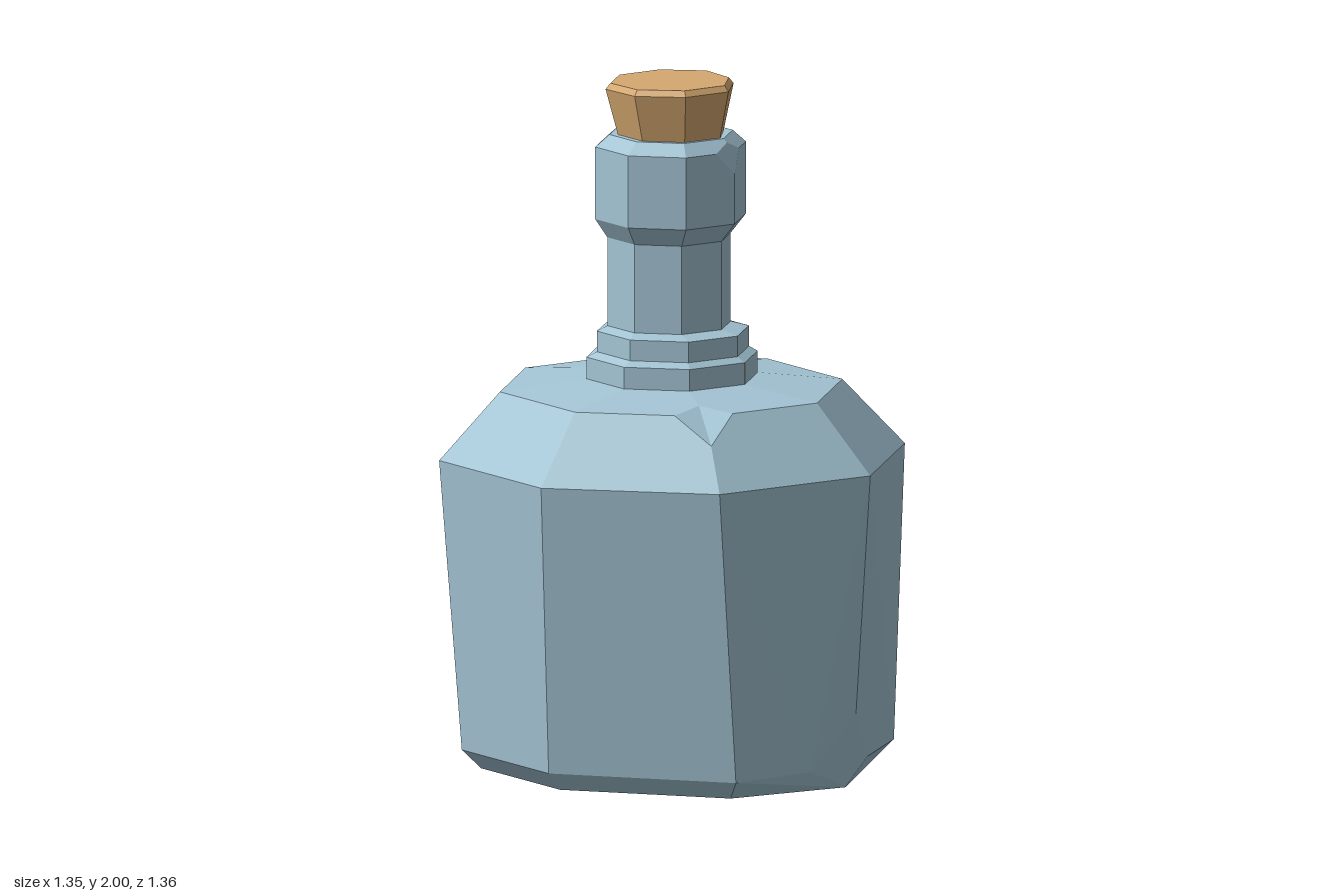
import * as THREE from 'three';

const N = 8;

// Octagonal ring of points; vertex 0 faces +x, vertex 2 faces +z
function ring(y, r, cx) {
  return Array.from({ length: N }, (_, k) => {
    const a = (k / N) * Math.PI * 2;
    return new THREE.Vector3(cx + r * Math.cos(a), y, r * Math.sin(a));
  });
}

// Polygon solid from stacked rings, closed at both ends
function loft(rings) {
  const points = rings.flat();
  const faces = [];
  for (let i = 0; i < rings.length - 1; i++) {
    for (let k = 0; k < N; k++) {
      const a = i * N + k, b = i * N + (k + 1) % N;
      faces.push([a, a + N, b + N, b]);
    }
  }
  const last = (rings.length - 1) * N;
  faces.push([...Array(N).keys()]);
  faces.push([...Array(N).keys()].map((k) => last + k).reverse());
  return { points, faces };
}

// Cut one corner off; t gives the cut along the edges up, next, down, previous
function chip(solid, i, k, t) {
  const { points, faces } = solid;
  const v = i * N + k;
  const around = [v + N, i * N + (k + 1) % N, v - N, i * N + (k + N - 1) % N];
  const cut = new Map();
  around.forEach((n, j) => {
    cut.set(n, points.length);
    points.push(points[v].clone().lerp(points[n], t[j]));
  });
  for (const f of faces) {
    const p = f.indexOf(v);
    if (p < 0) continue;
    const prev = f[(p + f.length - 1) % f.length], next = f[(p + 1) % f.length];
    f.splice(p, 1, cut.get(prev), cut.get(next));
  }
  faces.push(around.map((n) => cut.get(n)));
}

function toMesh({ points, faces }, material, name) {
  const pos = [];
  for (const f of faces) {
    for (let j = 1; j < f.length - 1; j++) {
      for (const n of [f[0], f[j], f[j + 1]]) pos.push(...points[n].toArray());
    }
  }
  const geometry = new THREE.BufferGeometry();
  geometry.setAttribute('position', new THREE.Float32BufferAttribute(pos, 3));
  geometry.computeVertexNormals();
  const mesh = new THREE.Mesh(geometry, material);
  mesh.name = name;
  return mesh;
}

export function createModel() {
  const glass = new THREE.MeshStandardMaterial({ color: 0xa4c5d5 });
  glass.name = 'pale blue glass';
  const corkColor = new THREE.MeshStandardMaterial({ color: 0xd5a870 });
  corkColor.name = 'cork tan';

  // Slightly uneven foot of the bottle
  const foot = [
    [0.605, 0], [0.475, 0.41], [-0.055, 0.58], [-0.465, 0.41],
    [-0.625, 0], [-0.465, -0.41], [-0.055, -0.58], [0.475, -0.41],
  ].map(([x, z]) => new THREE.Vector3(x, 0.065, z));
  const base = foot.map((p) => new THREE.Vector3(p.x * 0.91, 0.01, p.z * 0.91));
  base[0].set(0.58, 0, 0);

  // Body, shoulder, collar, neck and lip: y, radius, centre x
  const bottle = loft([
    base, foot,
    ...[
      [0.915, 0.68, -0.015],
      [1.108, 0.5, -0.018],
      [1.137, 0.25, -0.015],
      [1.2, 0.25, -0.015],
      [1.215, 0.222, -0.012],
      [1.275, 0.222, -0.012],
      [1.288, 0.18, -0.025],
      [1.545, 0.18, -0.025],
      [1.6, 0.22, -0.02],
      [1.81, 0.22, -0.02],
      [1.845, 0.18, -0.018],
    ].map((r) => ring(...r)),
  ]);

  // Knocked-off corners
  chip(bottle, 1, 0, [0.18, 0.36, 0.96, 0.36]); // foot
  chip(bottle, 2, 4, [0.6, 0.29, 0.13, 0.27]); // shoulder edge
  chip(bottle, 3, 1, [0.43, 0.24, 0.38, 0.24]); // shoulder top
  chip(bottle, 7, 4, [0.4, 0.3, 0.5, 0.4]); // collar
  chip(bottle, 11, 0, [0.7, 0.38, 0.3, 0.38]); // lip

  // Roughly cut stopper
  const cork = loft([
    ring(1.8, 0.15, -0.01),
    ring(1.84, 0.16, -0.01),
    ring(1.98, 0.194, -0.015),
    ring(1.997, 0.18, -0.015),
  ]);
  cork.points.forEach((p) => {
    p.y += p.y > 1.9 ? 0.015 * p.x : 0.03 * p.x;
    if (p.x > 0.05 && p.z < -0.05) { p.x -= 0.01; p.z += 0.01; }
  });

  const group = new THREE.Group();
  group.name = 'corkedBottle';
  group.add(toMesh(bottle, glass, 'bottle'), toMesh(cork, corkColor, 'cork'));
  return group;
}
